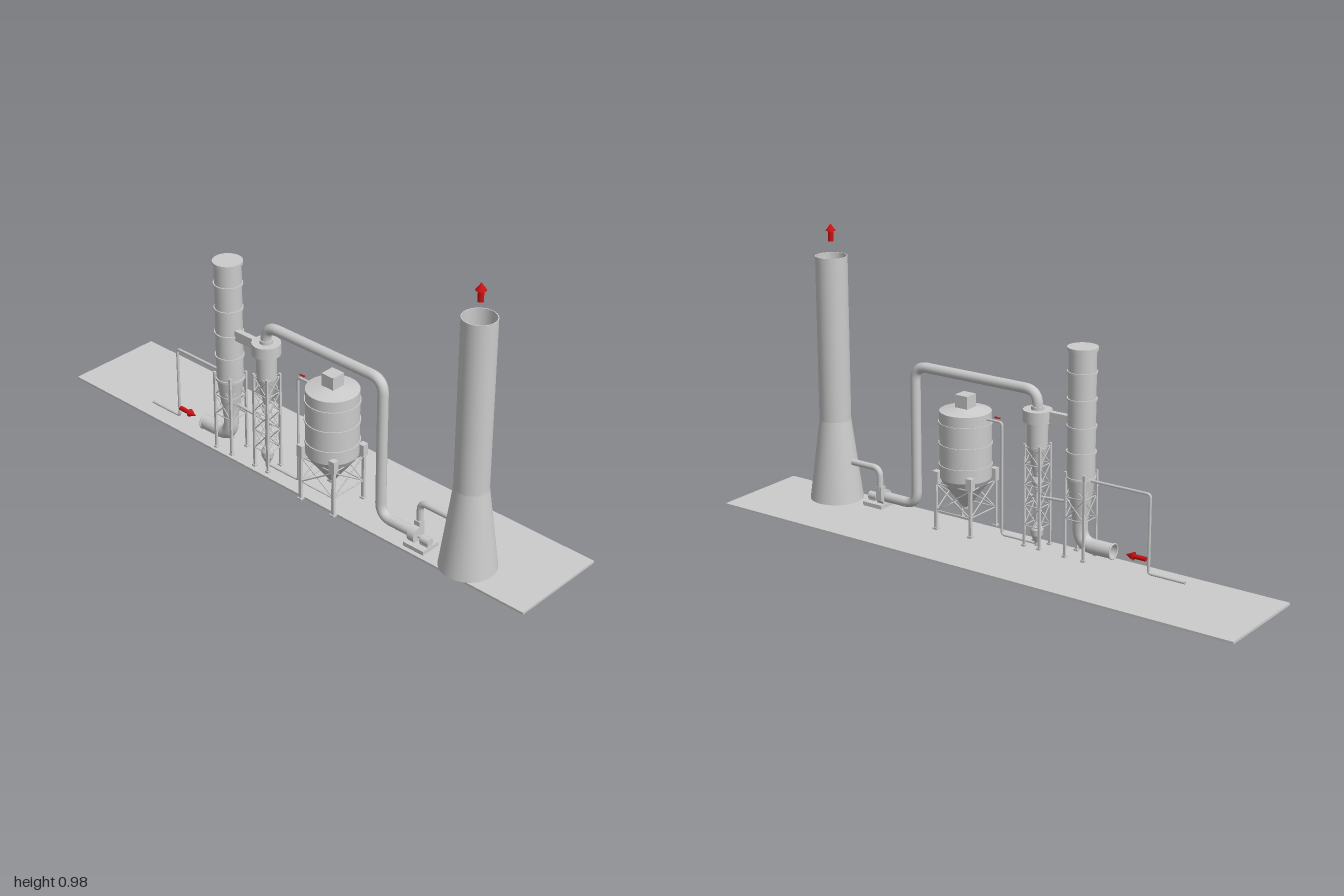
import * as THREE from 'three';

const grey = new THREE.MeshStandardMaterial({ color: 0xcccccc, side: THREE.DoubleSide });
const red = new THREE.MeshStandardMaterial({ color: 0xcc1111 });
const Z = 0.105; // line on which the process equipment stands
const FLOOR = 0.008;
const V = (x, y, z) => new THREE.Vector3(x, y, z);

function add(parent, name, geo, x = 0, y = 0, z = 0, mat = grey) {
  const m = new THREE.Mesh(geo, mat);
  m.name = name;
  m.position.set(x, y, z);
  parent.add(m);
  return m;
}

function group(parent, name, x = 0, y = 0, z = 0) {
  const g = new THREE.Group();
  g.name = name;
  g.position.set(x, y, z);
  parent.add(g);
  return g;
}

// Stacked straight-sided sections; points are repeated so edges stay sharp
function turned(parent, name, pts, seg = 32) {
  const g = group(parent, name);
  for (let i = 0; i < pts.length - 1; i++) {
    const [r0, y0] = pts[i], [r1, y1] = pts[i + 1];
    const geo = new THREE.LatheGeometry([new THREE.Vector2(r0, y0), new THREE.Vector2(r1, y1)], seg);
    add(g, name + 'Section', geo);
  }
  return g;
}

// Round bar between two points
function strut(parent, name, a, b, r, seg = 8) {
  const d = b.clone().sub(a);
  const m = add(parent, name, new THREE.CylinderGeometry(r, r, d.length(), seg));
  m.position.copy(a).addScaledVector(d, 0.5);
  m.quaternion.setFromUnitVectors(V(0, 1, 0), d.normalize());
  return m;
}

// Pipe along straight runs with rounded corners
function pipe(parent, name, pts, r, bend, seg = 16) {
  const path = new THREE.CurvePath();
  let prev = pts[0];
  for (let i = 1; i < pts.length - 1; i++) {
    const p = pts[i];
    const a = p.clone().add(pts[i - 1].clone().sub(p).setLength(bend));
    const b = p.clone().add(pts[i + 1].clone().sub(p).setLength(bend));
    path.add(new THREE.LineCurve3(prev, a));
    path.add(new THREE.QuadraticBezierCurve3(a, p, b));
    prev = b;
  }
  path.add(new THREE.LineCurve3(prev, pts[pts.length - 1]));
  return add(parent, name, new THREE.TubeGeometry(path, 160, r, seg, false));
}

// Four legs on feet, with crossed braces between the given levels
function supportFrame(parent, off, top, r, levels) {
  const g = group(parent, 'supportFrame');
  const c = [[1, 1], [1, -1], [-1, -1], [-1, 1]].map(([x, z]) => [x * off, z * off]);
  c.forEach(([x, z], i) => {
    const [nx, nz] = c[(i + 1) % 4];
    add(g, 'leg', new THREE.BoxGeometry(r * 2, top - FLOOR, r * 2), x, (top + FLOOR) / 2, z);
    add(g, 'foot', new THREE.BoxGeometry(r * 3.5, 0.006, r * 3.5), x, FLOOR + 0.003, z);
    levels.forEach((y, k) => {
      strut(g, 'crossbar', V(x, y, z), V(nx, y, nz), r * 0.5, 6);
      if (k === 0) return;
      strut(g, 'brace', V(x, levels[k - 1], z), V(nx, y, nz), r * 0.5, 6);
      strut(g, 'brace', V(x, y, z), V(nx, levels[k - 1], nz), r * 0.5, 6);
    });
  });
}

function rings(parent, r, h, heights) {
  heights.forEach((y) => add(parent, 'ring', new THREE.CylinderGeometry(r, r, h, 32), 0, y, 0));
}

// Flow arrow pointing up from its origin
function arrow(parent, name, len, r, x, y, z) {
  const g = group(parent, name, x, y, z);
  const head = len * 0.4;
  add(g, 'arrowShaft', new THREE.CylinderGeometry(r * 0.55, r * 0.55, len - head, 16), 0, (len - head) / 2, 0, red);
  add(g, 'arrowHead', new THREE.ConeGeometry(r, head, 20), 0, len - head / 2, 0, red);
  return g;
}

export function createModel() {
  const model = new THREE.Group();
  model.name = 'gasCleaningPlant';

  add(model, 'groundSlab', new THREE.BoxGeometry(2, FLOOR, 0.355), 0, FLOOR / 2, -0.0195);

  // Chimney, open at the top
  const chimney = group(model, 'chimney', 0.73, 0, 0.083);
  turned(chimney, 'chimneyShell', [[0.093, FLOOR], [0.055, 0.295], [0.055, 0.872], [0.052, 0.872], [0.052, 0.295]], 40);
  arrow(chimney, 'outletArrow', 0.06, 0.017, 0, 0.922, 0);

  // Reaction tower with tapered bottom and inlet elbow
  const tower = group(model, 'reactionTower', -0.272, 0, Z);
  turned(tower, 'towerShell', [[0.025, 0.13], [0.045, 0.275], [0.045, 0.7], [0.05, 0.7], [0.05, 0.71], [0, 0.71]]);
  rings(tower, 0.049, 0.007, [0.28, 0.365, 0.45, 0.54, 0.628]);
  pipe(tower, 'inletElbow', [V(-0.128, 0.053, 0), V(0, 0.053, 0), V(0, 0.135, 0)], 0.025, 0.055, 24);
  const flange = add(tower, 'inletFlange', new THREE.TorusGeometry(0.025, 0.003, 8, 24), -0.126, 0.053, 0);
  flange.rotation.y = Math.PI / 2;
  supportFrame(tower, 0.036, 0.3, 0.004, [0.14, 0.215, 0.29]);
  arrow(model, 'inletArrow', 0.075, 0.014, -0.52, 0.055, Z).rotation.z = -Math.PI / 2;

  // Cyclone with discharge valve and collecting hopper
  const cyclone = group(model, 'cyclone', -0.103, 0, Z);
  turned(cyclone, 'cycloneShell', [[0.008, 0.235], [0.033, 0.345], [0.035, 0.435], [0.048, 0.435], [0.048, 0.475], [0, 0.475]]);
  turned(cyclone, 'dischargeValve', [[0, 0.21], [0.014, 0.215], [0.018, 0.23], [0.014, 0.245], [0, 0.25]], 20);
  strut(cyclone, 'dischargePipe', V(0, 0.08, 0), V(0, 0.215, 0), 0.008, 16);
  turned(cyclone, 'collectingHopper', [[0.008, 0.02], [0.02, 0.045], [0.022, 0.065], [0.008, 0.09]], 20);
  strut(cyclone, 'hopperOutlet', V(0, FLOOR, 0), V(0, 0.03, 0), 0.008, 16);
  supportFrame(cyclone, 0.03, 0.36, 0.004, [0.08, 0.15, 0.22, 0.29, 0.35]);
  add(model, 'crossDuct', new THREE.BoxGeometry(0.1, 0.036, 0.02), -0.19, 0.456, Z + 0.006);
  strut(model, 'returnPipe', V(-0.25, 0.187, Z), V(-0.07, 0.176, Z), 0.005);

  // Storage silo with cone bottom
  const silo = group(model, 'silo', 0.183, 0, 0.102);
  turned(silo, 'siloShell', [[0.012, 0.085], [0.077, 0.172], [0.087, 0.19], [0.087, 0.42], [0.03, 0.432], [0, 0.432]], 40);
  add(silo, 'siloOutlet', new THREE.CylinderGeometry(0.012, 0.012, 0.012, 16), 0, 0.084, 0);
  rings(silo, 0.0905, 0.007, [0.235, 0.308, 0.38]);
  add(silo, 'roofFilter', new THREE.BoxGeometry(0.05, 0.047, 0.05), 0, 0.452, 0);
  supportFrame(silo, 0.071, 0.2, 0.005, [0.075, 0.17]);
  for (const x of [-1, 1]) for (const z of [-1, 1])
    add(silo, 'legBracket', new THREE.BoxGeometry(0.022, 0.043, 0.022), x * 0.069, 0.193, z * 0.069);

  // Clean gas duct from the cyclone to the fan
  pipe(model, 'mainDuct', [V(-0.103, 0.47, Z), V(-0.103, 0.537, Z), V(0.393, 0.537, Z),
    V(0.393, 0.043, Z), V(0.535, 0.043, Z)], 0.0175, 0.05, 24);
  add(model, 'ductCollar', new THREE.CylinderGeometry(0.022, 0.022, 0.012, 24), -0.103, 0.48, Z);

  // Fan, motor and outlet duct into the chimney
  const fan = group(model, 'fan', 0.56, 0, Z);
  add(fan, 'fanBase', new THREE.BoxGeometry(0.08, 0.014, 0.075), 0, 0.015, 0);
  strut(fan, 'fanHousing', V(-0.036, 0.042, 0), V(-0.01, 0.042, 0), 0.027, 28);
  strut(fan, 'motorShaft', V(-0.01, 0.038, 0), V(0.01, 0.038, 0), 0.005);
  strut(fan, 'motor', V(0.004, 0.036, 0), V(0.038, 0.036, 0), 0.014, 20);
  add(fan, 'motorMount', new THREE.BoxGeometry(0.032, 0.012, 0.024), 0.021, 0.026, 0);
  add(fan, 'fanOutlet', new THREE.BoxGeometry(0.022, 0.05, 0.024), -0.023, 0.06, -0.018);
  pipe(model, 'outletDuct', [V(0.537, 0.07, 0.085), V(0.537, 0.15, 0.085), V(0.67, 0.15, 0.085)], 0.011, 0.03);

  // Thin feed lines
  pipe(model, 'feedLine', [V(-0.67, 0.014, 0.095), V(-0.536, 0.014, 0.095), V(-0.536, 0.278, 0.095),
    V(-0.3, 0.278, 0.095)], 0.005, 0.012, 8);
  pipe(model, 'siloFillLine', [V(-0.1, 0.014, Z), V(0.037, 0.014, Z), V(0.037, 0.403, Z),
    V(0.1, 0.403, Z)], 0.0045, 0.012, 8);
  arrow(model, 'fillArrow', 0.026, 0.004, 0.045, 0.416, Z).rotation.z = -Math.PI / 2;

  return model;
}
